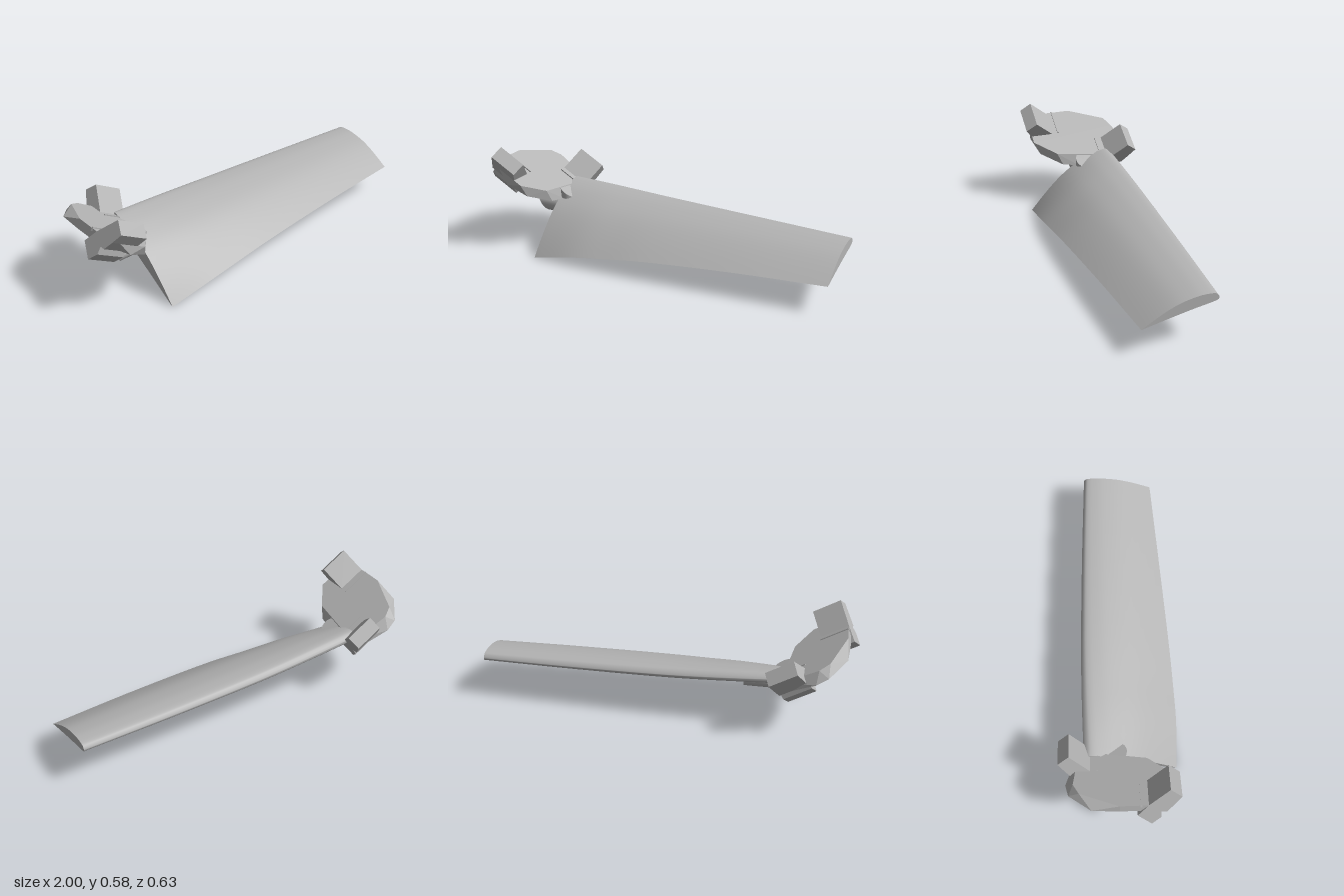
import * as THREE from 'three';
import { ConvexGeometry } from 'three/addons/geometries/ConvexGeometry.js';

const grey = new THREE.MeshStandardMaterial({ color: 0xb4b4b4 });
grey.name = 'plain grey';

function add(parent, geometry, name) {
  const mesh = new THREE.Mesh(geometry, grey);
  mesh.name = name;
  parent.add(mesh);
  return mesh;
}

// Smooth a list of [a, b, c] points into n + 1 samples
function sample(points, n) {
  return new THREE.CatmullRomCurve3(points.map(p => new THREE.Vector3(...p)), false, 'centripetal').getPoints(n);
}

// Twisted, tapered blade lofted from one aerofoil section
function bladeGeometry() {
  const spans = 28, half = 20;
  const leading = sample([[-0.645, 0.315, -0.187], [-0.4, 0.3, -0.19], [-0.2, 0.288, -0.19],
    [0, 0.278, -0.187], [0.5, 0.262, -0.17], [1, 0.25, -0.147]], spans);
  const trailing = sample([[-0.645, 0.003, 0.308], [-0.4, 0.055, 0.317], [-0.2, 0.082, 0.31],
    [0, 0.105, 0.3], [0.5, 0.135, 0.268], [1, 0.15, 0.235]], spans);
  // Section as (distance from nose, height), both in chords
  const lower = sample([[1, 0, 0], [0.6, -0.008, 0], [0.3, -0.02, 0], [0.08, -0.034, 0], [0.02, -0.028, 0], [0, 0, 0]], half);
  const upper = sample([[0, 0, 0], [0.02, 0.05, 0], [0.06, 0.075, 0], [0.11, 0.092, 0], [0.2, 0.114, 0],
    [0.3, 0.125, 0], [0.45, 0.128, 0], [0.6, 0.11, 0], [0.8, 0.062, 0], [1, 0, 0]], half);
  const section = [...lower, ...upper.slice(1)];
  const n = section.length, pos = [], index = [];

  const ring = i => {
    const a = leading[i], b = trailing[i];
    const dz = b.z - a.z, dy = b.y - a.y;
    for (const p of section) {
      pos.push(THREE.MathUtils.lerp(a.x, b.x, p.x), a.y + dy * p.x + dz * p.y, a.z + dz * p.x - dy * p.y);
    }
  };
  for (let i = 0; i <= spans; i++) ring(i);
  for (let i = 0; i < spans; i++) {
    for (let j = 0; j < n - 1; j++) {
      const a = i * n + j, b = a + n;
      index.push(a, a + 1, b + 1, a, b + 1, b);
    }
  }
  // End caps have their own vertices so their edges stay sharp
  for (const end of [0, spans]) {
    const base = pos.length / 3;
    ring(end);
    for (let j = 0; j < half; j++) {
      const a = base + j, b = a + 1, c = base + n - 2 - j, d = c + 1;
      if (end) index.push(a, b, c, a, c, d);
      else index.push(a, c, b, a, d, c);
    }
  }
  const g = new THREE.BufferGeometry();
  g.setAttribute('position', new THREE.Float32BufferAttribute(pos, 3));
  g.setIndex(index);
  g.computeVertexNormals();
  return g;
}

// Slanted, notched block running along x; side is +1 front or -1 back
function blockGeometry(side) {
  const profile = [[0.304, 0.055], [0.247, 0.107], [0.142, 0], [0.087, -0.073], [0.157, -0.138],
    [0.204, -0.09], [0.204, -0.049], [0.232, -0.049], [0.267, 0]];
  const shape = new THREE.Shape(profile.map(([z, y]) => new THREE.Vector2(-side * z, y)));
  return new THREE.ExtrudeGeometry(shape, { depth: 0.162, bevelEnabled: false }).rotateY(Math.PI / 2);
}

export function createModel() {
  const model = new THREE.Group();
  model.name = 'bladeAssembly';
  add(model, bladeGeometry(), 'blade');

  // Tilted hub: plate, two clamp blocks and raised ribs
  const hub = new THREE.Group();
  hub.name = 'hub';
  hub.position.set(-0.9335, 0.492, -0.013);
  hub.rotation.z = -Math.PI / 6;
  model.add(hub);

  const top = [[0, 0.14], [0, 0], [0.09, -0.1], [0.09, -0.2], [0.15, -0.23], [0.36, -0.2],
    [0.35, -0.06], [0.314, 0], [0.314, 0.15], [0.21, 0.266], [0.05, 0.266]];
  const bottom = [[0.01, 0.14], [0.01, 0], [0.02, -0.14], [0.12, -0.255], [0.19, -0.27], [0.36, -0.22],
    [0.37, -0.06], [0.38, 0.03], [0.36, 0.12], [0.26, 0.235], [0.14, 0.266]];
  const corners = [
    ...top.map(([x, z]) => new THREE.Vector3(x, 0, z)),
    ...bottom.map(([x, z]) => new THREE.Vector3(x, -0.05, z))
  ];
  add(hub, new ConvexGeometry(corners), 'hubPlate');

  for (const [side, x, label] of [[1, 0, 'front'], [-1, 0.236, 'back']]) {
    add(hub, blockGeometry(side), label + 'Block').position.x = x;
    const rib = add(hub, new THREE.BoxGeometry(0.162, 0.02, 0.008), label + 'Rib');
    rib.position.set(x + 0.081, -0.004, side * 0.105);
  }

  // Pivot post with a slanted top
  const post = new THREE.CylinderGeometry(0.049, 0.049, 0.1, 40);
  const pp = post.attributes.position;
  for (let i = 0; i < pp.count; i++) {
    if (pp.getY(i) > 0) pp.setY(i, 0.05 - pp.getX(i) * 0.6);
  }
  post.computeVertexNormals();
  add(model, post, 'pivotPost').position.set(-0.61, 0.25, -0.013);

  // Round root spar under the blade, cut at an angle at the hub end
  const spar = new THREE.CylinderGeometry(0.049, 0.049, 0.36, 40).rotateZ(-Math.PI / 2);
  const sp = spar.attributes.position;
  for (let i = 0; i < sp.count; i++) {
    if (sp.getX(i) < 0) sp.setX(i, -0.18 - sp.getY(i) * 0.7);
  }
  spar.computeVertexNormals();
  add(model, spar, 'rootSpar').position.set(-0.59, 0.212, -0.013);

  return model;
}
